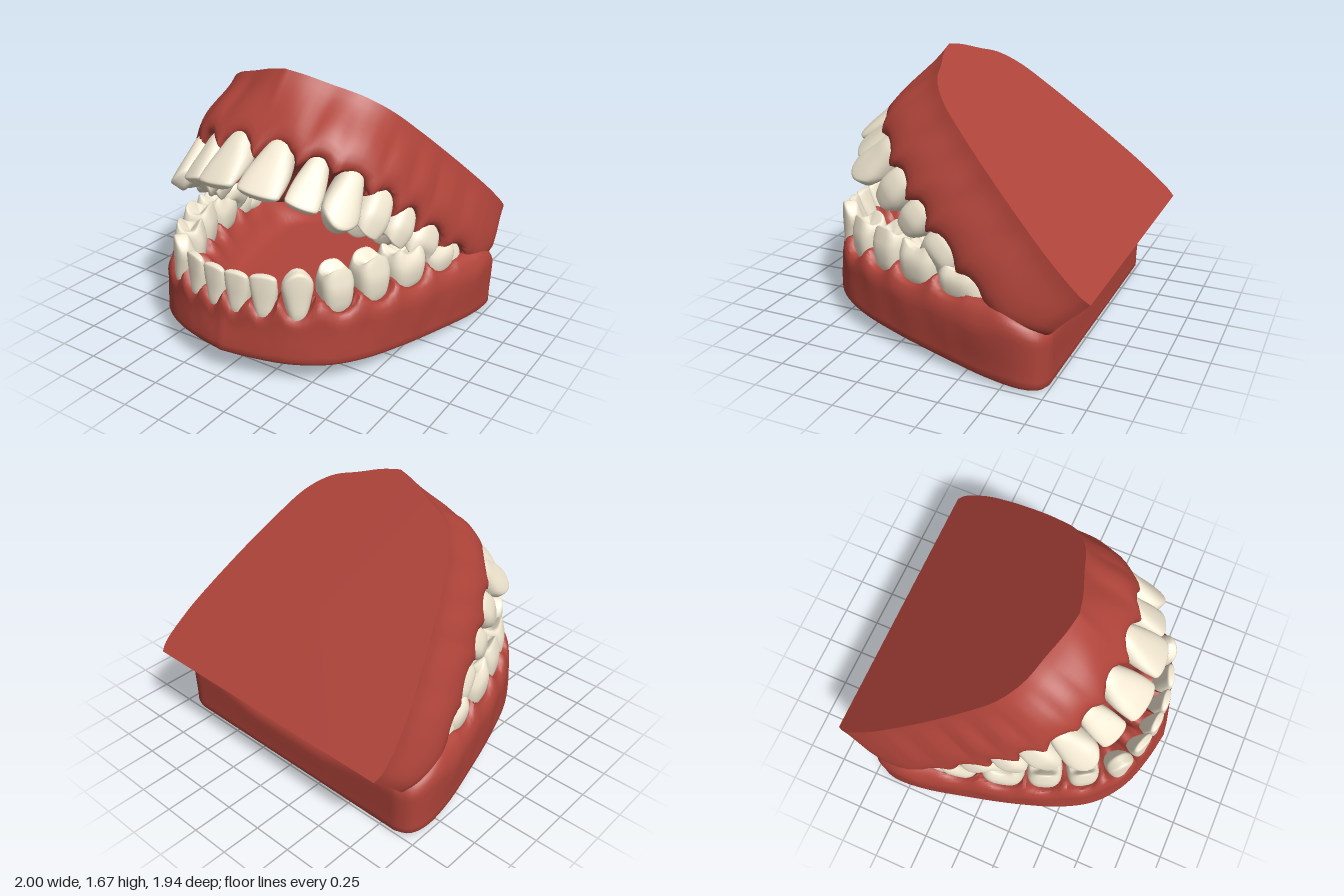
import * as THREE from 'three';
import { toCreasedNormals } from 'three/addons/utils/BufferGeometryUtils.js';

const { smoothstep, lerp, clamp } = THREE.MathUtils;
const gumMat = new THREE.MeshStandardMaterial({ color: 0xb0443a });
const toothMat = new THREE.MeshStandardMaterial({ color: 0xf2e8d2 });

// Skin a stack of closed rings (each an array of Vector3)
function skin(rings) {
  const n = rings[0].length, index = [];
  for (let i = 0; i < rings.length - 1; i++) {
    for (let j = 0; j < n; j++) {
      const k = (j + 1) % n, a = i * n + j, b = i * n + k;
      index.push(a, b, b + n, a, b + n, a + n);
    }
  }
  const geo = new THREE.BufferGeometry().setFromPoints(rings.flat());
  geo.setIndex(index);
  geo.computeVertexNormals();
  return geo;
}

// Closed outline from one half (front to back corner), with a straight back edge
function outline(half) {
  const pts = half.map(([x, z]) => new THREE.Vector3(x, 0, z));
  const side = new THREE.CatmullRomCurve3(pts).getSpacedPoints(90);
  const corner = side[side.length - 1];
  for (let i = 1; i <= 24; i++) side.push(new THREE.Vector3(corner.x * (1 - i / 24), 0, corner.z));
  const mirror = side.slice(1, -1).reverse().map((p) => new THREE.Vector3(-p.x, 0, p.z));
  return [...side, ...mirror];
}

const isCutting = (kind) => kind === 'incisor' || kind === 'canine';

// One crown: x along the arch, y towards the biting edge, z outwards
function toothGeometry(kind, w, d, h) {
  const N = 28, rings = [], cutting = isCutting(kind);
  const power = cutting ? 0.8 : 0.68;
  const ring = (v, s) => {
    const out = [];
    for (let j = 0; j < N; j++) {
      const a = (j / N) * Math.PI * 2, sn = Math.sin(a), cs = Math.cos(a);
      const ux = Math.sign(sn) * Math.abs(sn) ** power * s;
      const uz = Math.sign(cs) * Math.abs(cs) ** power * s;
      const neck = lerp(0.62, 1, smoothstep(v, -0.1, 0.3));
      let wide, deep, y = v * h, shift = 0;
      if (cutting) {
        wide = lerp(0.45, 1, Math.sin(Math.min(1, v * 1.25) * Math.PI / 2));
        deep = neck * lerp(1, kind === 'incisor' ? 0.32 : 0.45, v ** 1.4);
        shift = smoothstep(v, 0, 0.8) * (1 - deep) * 0.3 * d;
        if (kind === 'canine') y -= 0.2 * h * ux * ux * smoothstep(v, 0.5, 1);
        else y -= 0.04 * h * ux * ux * smoothstep(v, 0.7, 1);
      } else {
        wide = lerp(0.66, 1, Math.sin(Math.min(1, v * 1.5) * Math.PI / 2)) - 0.12 * smoothstep(v, 0.75, 1);
        deep = neck * wide - 0.14 * smoothstep(v, 0.6, 1);
        // Cusps around a hollow chewing surface
        const cusps = kind === 'molar' ? -Math.cos(4 * a) : Math.cos(2 * a);
        y += smoothstep(v, 0.75, 1) * h * (0.08 * cusps * s - 0.18 * (1 - s));
      }
      out.push(new THREE.Vector3(ux * wide * w / 2, y, uz * deep * d / 2 + shift));
    }
    return out;
  };
  for (let i = 0; i <= 10; i++) rings.push(ring(i / 10 * 0.95, 1));
  for (const [v, s] of [[0.985, 0.93], [1, 0.8], [1, 0.55], [1, 0.28], [1, 0]]) rings.push(ring(v, s));
  return skin(rings);
}

// A jaw with its base below and its teeth pointing up
function buildJaw(name, o) {
  const jaw = new THREE.Group();
  jaw.name = name;

  // Arch line through the teeth, with the scallop height along it
  const half = [...o.teeth.map((t) => [t[1], t[2]]), o.archEnd];
  const archPts = [...half.map(([x, z]) => [-x, z]).reverse(), ...half];
  const curve = new THREE.CatmullRomCurve3(archPts.map(([x, z]) => new THREE.Vector3(x, 0, z)));
  const last = o.teeth[o.teeth.length - 1];
  const arch = curve.getSpacedPoints(260).map((p) => {
    let gap = 1;
    for (const [, x, z, w] of o.teeth) gap = Math.min(gap, Math.hypot(Math.abs(p.x) - x, p.z - z) / (w / 2));
    return { x: p.x, z: p.z, gap: p.z < last[2] - 0.1 ? 0.67 : clamp(gap, 0, 1) };
  });
  const nearest = (x, z) => {
    let best = Infinity, hit;
    for (const a of arch) {
      const d = (a.x - x) ** 2 + (a.z - z) ** 2;
      if (d < best) { best = d; hit = a; }
    }
    return { d: Math.sqrt(best), gap: hit.gap };
  };
  const gumHeight = (x, z) => {
    const { d, gap } = nearest(x, z);
    const top = lerp(o.backTop, o.top, smoothstep(z, o.backZ, o.backZ + 0.32));
    const reach = lerp(o.backReach, o.reach, smoothstep(z, o.backZ, o.backZ + 0.4));
    return lerp(top, o.floor, smoothstep(d, 0.1, reach))
      + o.scallop * (gap * gap - 0.45) * (1 - smoothstep(d, 0.06, 0.2));
  };

  // Gum: flat base, outer wall, rounded rim, ridge and hollow floor
  const base = outline(o.base), rim = outline(o.rim);
  const centre = new THREE.Vector3(0, 0, o.centreZ), rings = [];
  const onBase = (s, lift) => base.map((p) => {
    const q = centre.clone().lerp(p, s);
    return q.setY(o.baseY(q.z) + lift);
  });
  rings.push(onBase(0, 0), onBase(0.985, 0), onBase(1, o.bevel));
  const edge = rim.map((p) => gumHeight(p.x, p.z) - 0.06);
  const gaps = rim.map((p) => nearest(p.x, p.z).gap);
  for (let i = 1; i <= 8; i++) {
    const t = i / 8;
    rings.push(base.map((p, j) => {
      const q = p.clone().lerp(rim[j], smoothstep(t, 0, 0.9));
      const root = 1 + 0.008 * Math.sin(t * Math.PI) * (0.5 - gaps[j]);
      q.sub(centre).multiplyScalar(root).add(centre);
      return q.setY(lerp(o.baseY(p.z) + o.bevel, edge[j], t));
    }));
  }
  for (const s of [0.992, 0.978, 0.96, 0.94, 0.92, 0.9, 0.875, 0.85, 0.82, 0.79, 0.76, 0.73, 0.7, 0.66, 0.62, 0.57, 0.5, 0.4, 0.25, 0]) {
    const drop = 0.06 * (1 - smoothstep(1 - s, -0.015, 0.035));
    rings.push(rim.map((p) => {
      const q = centre.clone().lerp(p, s);
      return q.setY(gumHeight(q.x, q.z) - drop);
    }));
  }
  const gum = new THREE.Mesh(toCreasedNormals(skin(rings), 0.85), gumMat);
  gum.name = name + 'Gum';
  jaw.add(gum);

  // Teeth, mirrored left and right, turned to follow the arch and leaning outwards
  o.teeth.forEach(([kind, x, z, w, d, tip], i) => {
    const prev = i ? o.teeth[i - 1] : [0, -x, z];
    const next = o.teeth[i + 1] || [0, ...o.archEnd];
    const turn = Math.atan2(prev[2] - next[2], next[1] - prev[1]);
    const geo = toothGeometry(kind, w, d, tip - o.root);
    for (const side of [1, -1]) {
      const tooth = new THREE.Mesh(geo, toothMat);
      tooth.name = `${name}${kind[0].toUpperCase()}${kind.slice(1)}`;
      tooth.position.set(side * x, o.root, z);
      tooth.rotation.set(isCutting(kind) ? o.lean : 0, side * turn, 0, 'YXZ');
      jaw.add(tooth);
    }
  });
  return jaw;
}

export function createModel() {
  const model = new THREE.Group();
  model.name = 'dentalModel';

  // Teeth rows: kind, x, z, width, depth, tip height
  const lower = buildJaw('lowerJaw', {
    base: [[0, 0.968], [0.2, 0.93], [0.42, 0.855], [0.6, 0.72], [0.72, 0.53], [0.82, 0.25], [0.91, -0.1], [0.975, -0.42], [0.98, -0.62], [0.94, -0.71], [0.86, -0.745]],
    rim: [[0, 0.935], [0.2, 0.91], [0.42, 0.84], [0.6, 0.71], [0.73, 0.5], [0.84, 0.22], [0.92, -0.1], [0.995, -0.42], [0.99, -0.62], [0.95, -0.71], [0.87, -0.75]],
    baseY: (z) => Math.max(0, 0.065 + 0.089 * z), bevel: 0.02,
    centreZ: 0.05, top: 0.47, backTop: 0.36, backZ: -0.75, floor: 0.28, backReach: 0.6, reach: 0.3,
    scallop: 0.1, root: 0.36, lean: 0.04, archEnd: [0.84, -0.72],
    teeth: [
      ['incisor', 0.075, 0.85, 0.155, 0.14, 0.66], ['incisor', 0.23, 0.82, 0.16, 0.14, 0.67],
      ['canine', 0.39, 0.74, 0.18, 0.19, 0.71], ['premolar', 0.53, 0.565, 0.2, 0.2, 0.68],
      ['premolar', 0.63, 0.35, 0.22, 0.21, 0.69], ['molar', 0.7, 0.1, 0.28, 0.25, 0.67],
      ['molar', 0.76, -0.18, 0.27, 0.25, 0.61],
    ],
  });

  const upper = buildJaw('upperJaw', {
    base: [[0, 1.665], [0.12, 1.63], [0.27, 1.56], [0.44, 1.48], [0.57, 1.34], [0.665, 1.12], [0.75, 0.87], [0.84, 0.56], [0.9, 0.3], [0.92, 0.06], [0.9, 0]],
    rim: [[0, 1.66], [0.12, 1.655], [0.25, 1.64], [0.45, 1.57], [0.61, 1.41], [0.73, 1.17], [0.82, 0.89], [0.9, 0.6], [0.96, 0.3], [0.95, 0.08], [0.92, 0.02]],
    baseY: () => 0, bevel: 0,
    centreZ: 0.7, top: 0.48, backTop: 0.34, backZ: 0, floor: 0.2, backReach: 0.8, reach: 0.42,
    scallop: 0.12, root: 0.39, lean: 0.17, archEnd: [0.85, 0.03],
    teeth: [
      ['incisor', 0.13, 1.555, 0.265, 0.19, 0.79], ['incisor', 0.335, 1.475, 0.2, 0.17, 0.77],
      ['canine', 0.485, 1.365, 0.23, 0.22, 0.8], ['premolar', 0.59, 1.185, 0.22, 0.23, 0.71],
      ['premolar', 0.66, 0.98, 0.21, 0.23, 0.67], ['molar', 0.71, 0.735, 0.28, 0.25, 0.65],
      ['molar', 0.76, 0.455, 0.26, 0.25, 0.62],
    ],
  });
  // Turn the upper jaw over, then swing it open about its back edge
  upper.rotation.z = Math.PI;
  const hinge = new THREE.Group();
  hinge.name = 'openUpperJaw';
  hinge.position.set(0, 0.56, -0.97);
  hinge.rotation.x = -0.73;
  hinge.add(upper);

  model.add(lower, hinge);
  return model;
}
